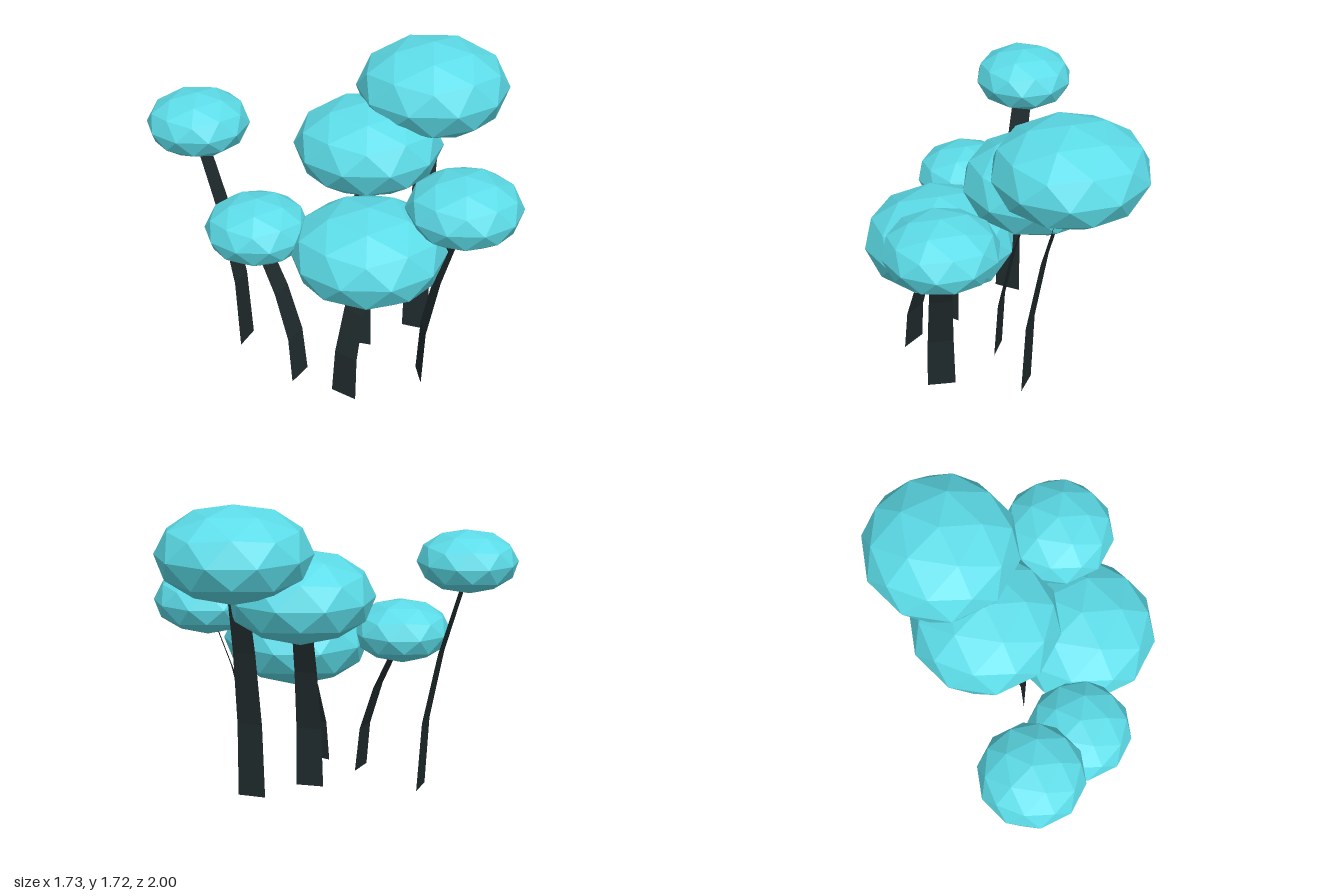
import * as THREE from 'three';

const leafMaterial = new THREE.MeshStandardMaterial({ color: 0x5cdce8, flatShading: true });
const trunkMaterial = new THREE.MeshStandardMaterial({ color: 0x1f2a2c, flatShading: true, side: THREE.DoubleSide });

// Each tree: crown centre, crown radius and half height, trunk foot on the ground
const TREES = [
  { name: 'tallBackTree', crown: [-0.53, 1.355, -0.72], radius: 0.283, half: 0.175, foot: [-0.47, -0.48] },
  { name: 'lowBackTree', crown: [-0.595, 0.88, -0.255], radius: 0.288, half: 0.18, foot: [-0.56, -0.005] },
  { name: 'wideLowTree', crown: [-0.327, 0.812, 0.298], radius: 0.428, half: 0.267, foot: [-0.557, 0.305] },
  { name: 'middleTree', crown: [0.1, 1.182, -0.033], radius: 0.418, half: 0.258, foot: [-0.115, 0.055] },
  { name: 'tallestTree', crown: [0.455, 1.455, 0.145], radius: 0.43, half: 0.266, foot: [0.222, 0.22] },
  { name: 'frontTree', crown: [0.015, 1.055, 0.68], radius: 0.32, half: 0.195, foot: [-0.155, 0.52] },
];

// Bend of a trunk: [share of crown height, share of the lean, width]
const BEND = [[0, 0, 0.16], [0.3, 0.1, 0.146], [0.6, 0.43, 0.13], [0.95, 1, 0.112]];

// Faceted ball with a corner at its top, squashed into a crown
function makeCrown({ crown, radius, half }) {
  const geometry = new THREE.IcosahedronGeometry(1, 1);
  geometry.rotateZ(-Math.atan(2 / (1 + Math.sqrt(5))));
  geometry.scale(radius, half, radius);
  const mesh = new THREE.Mesh(geometry, leafMaterial);
  mesh.name = 'crown';
  mesh.position.set(...crown);
  return mesh;
}

// Flat tapering ribbon that leans towards the crown, its width square to the lean
function makeTrunk({ crown, foot }) {
  const [dx, dz] = [crown[0] - foot[0], crown[2] - foot[1]];
  const length = Math.hypot(dx, dz);
  const geometry = new THREE.PlaneGeometry(1, 1, 1, BEND.length - 1);
  const position = geometry.attributes.position;
  BEND.forEach(([rise, lean, width], row) => {
    for (const side of [0, 1]) {
      const offset = (side - 0.5) * width;
      position.setXYZ(
        row * 2 + side,
        foot[0] + dx * lean - (dz / length) * offset,
        crown[1] * rise,
        foot[1] + dz * lean + (dx / length) * offset,
      );
    }
  });
  geometry.computeVertexNormals();
  const mesh = new THREE.Mesh(geometry, trunkMaterial);
  mesh.name = 'trunk';
  return mesh;
}

export function createModel() {
  const model = new THREE.Group();
  model.name = 'treeCluster';
  for (const spec of TREES) {
    const tree = new THREE.Group();
    tree.name = spec.name;
    tree.add(makeCrown(spec), makeTrunk(spec));
    model.add(tree);
  }
  return model;
}
